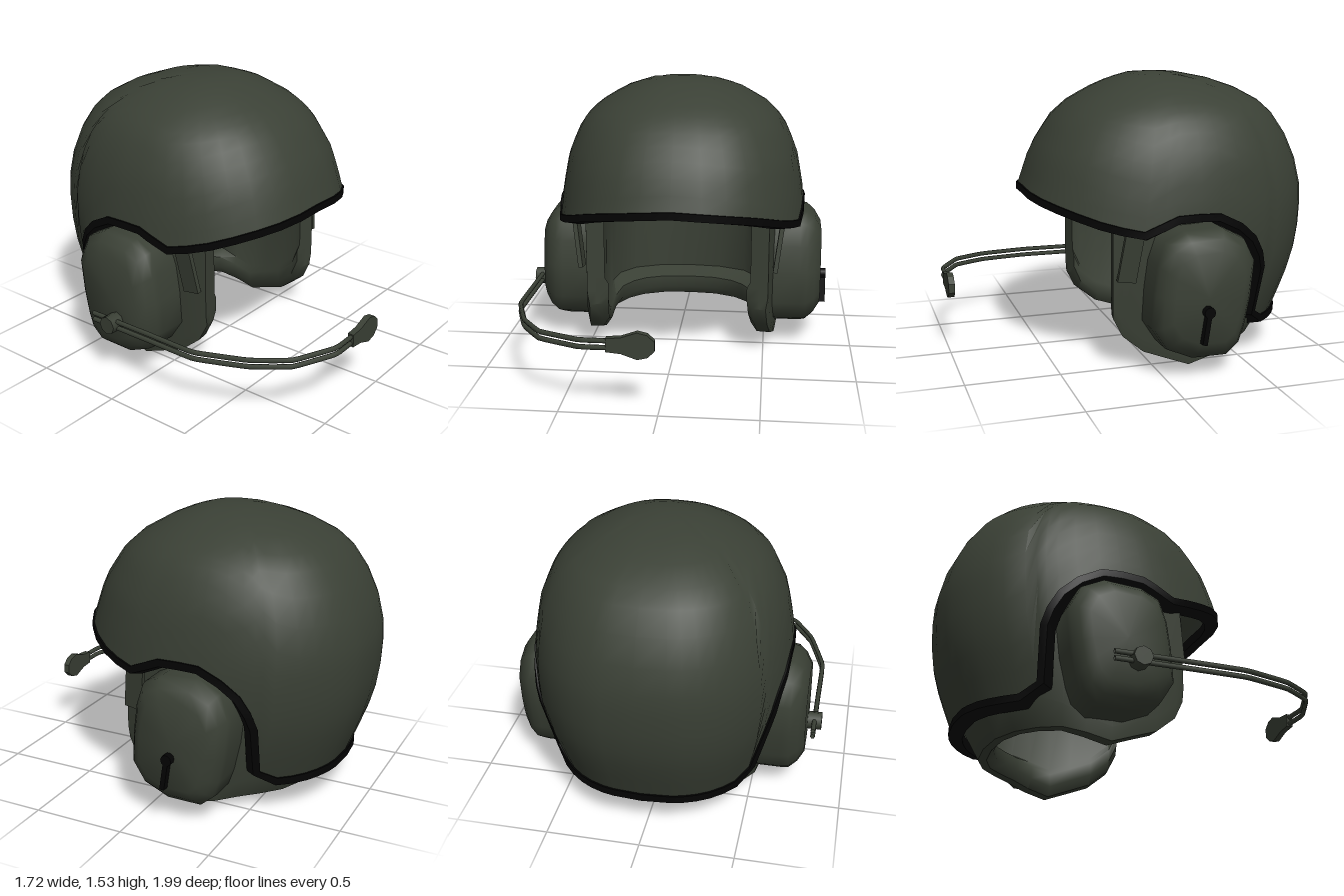
import * as THREE from 'three';
import { mergeVertices, toCreasedNormals } from 'three/addons/utils/BufferGeometryUtils.js';

const V = (x, y, z) => new THREE.Vector3(x, y, z);
const lerp = THREE.MathUtils.lerp;

// Surface through rows of points, with creases at sharp angles.
function grid(rows, crease = 0.8) {
  const n = rows[0].length, pos = [], idx = [];
  rows.forEach(r => r.forEach(p => pos.push(p.x, p.y, p.z)));
  for (let i = 0; i < rows.length - 1; i++) {
    for (let j = 0; j < n - 1; j++) {
      const a = i * n + j, b = a + n;
      idx.push(a, a + 1, b, b, a + 1, b + 1);
    }
  }
  const g = new THREE.BufferGeometry();
  g.setAttribute('position', new THREE.Float32BufferAttribute(pos, 3));
  g.setIndex(idx);
  return toCreasedNormals(mergeVertices(g), crease);
}

// Dome rings from the crown down: y, front z, back z, half width.
const RINGS = [
  [1.53, -0.15, -0.15, 0], [1.515, 0.0, -0.36, 0.18], [1.46, 0.15, -0.57, 0.34],
  [1.37, 0.31, -0.74, 0.49], [1.28, 0.41, -0.84, 0.575], [1.11, 0.52, -0.94, 0.65],
  [0.92, 0.585, -0.987, 0.685], [0.78, 0.62, -0.993, 0.7], [0.6, 0.63, -0.98, 0.695],
  [0.45, 0.63, -0.94, 0.675], [0.3, 0.62, -0.885, 0.64], [0.16, 0.61, -0.83, 0.6],
];
function ringAt(u) {
  const i = Math.min(Math.floor(u), RINGS.length - 2);
  return RINGS[i].map((v, k) => lerp(v, RINGS[i + 1][k], u - i));
}
function ringIndex(y) {
  const i = RINGS.findIndex(r => r[0] <= y);
  return i - 1 + (RINGS[i - 1][0] - y) / (RINGS[i - 1][0] - RINGS[i][0]);
}
function domePoint(phi, u, side) {
  const [y, zf, zb, w] = ringAt(u);
  const x = w * Math.pow(Math.max(0, Math.sin(phi)), 0.82);
  return V(side * x, y, (zf + zb) / 2 + Math.cos(phi) * (zf - zb) / 2);
}

// Lower edge of the shell on one side, front to back: z, y.
const RIM = [
  [0.6, 0.925], [0.575, 0.915], [0.54, 0.9], [0.48, 0.88], [0.4, 0.853], [0.3, 0.82],
  [0.2, 0.795], [0.1, 0.775], [0.0, 0.82], [-0.07, 0.85], [-0.19, 0.855], [-0.3, 0.85],
  [-0.42, 0.79], [-0.51, 0.71], [-0.56, 0.62], [-0.585, 0.53], [-0.57, 0.26], [-0.64, 0.21],
  [-0.7, 0.21], [-0.755, 0.212], [-0.795, 0.215], [-0.825, 0.217], [-0.842, 0.22], [-0.9, 0.22],
];

// Bottom edge of the padding: z, y.
const PAD_EDGE = [[0.22, 0.28], [0.17, 0.18], [0.06, 0.09], [-0.19, 0], [-0.47, 0.07], [-1, 0.07]];
function padBottom(z) {
  const i = Math.max(1, PAD_EDGE.findIndex(p => p[0] <= z));
  const [a, b] = [PAD_EDGE[i - 1], PAD_EDGE[i]];
  return lerp(a[1], b[1], (a[0] - z) / (a[0] - b[0]));
}

export function createModel() {
  const model = new THREE.Group();
  model.name = 'helmet';
  const green = new THREE.MeshStandardMaterial({ color: 0x3a4035, side: THREE.DoubleSide });
  green.name = 'olive green';
  const black = new THREE.MeshStandardMaterial({ color: 0x030303, side: THREE.DoubleSide });
  black.name = 'black';
  const add = (name, geometry, material, x = 0, y = 0, z = 0) => {
    const m = new THREE.Mesh(geometry, material);
    m.name = name;
    m.position.set(x, y, z);
    model.add(m);
    return m;
  };
  const mid = 0.018;

  // Shell: columns running from the crown to the rim
  const half = RIM.map(([z, y]) => {
    const u = ringIndex(y), [, zf, zb] = ringAt(u);
    const c = THREE.MathUtils.clamp((z - (zf + zb) / 2) / ((zf - zb) / 2), -1, 1);
    return { phi: Math.acos(c), u, side: 1 };
  });
  const loop = [...half, ...half.slice(1, -1).reverse().map(r => ({ ...r, side: -1 }))];
  loop.push(loop[0]);
  const STEPS = 14;
  add('shell', grid(loop.map(r => Array.from({ length: STEPS + 1 },
    (_, k) => domePoint(r.phi, r.u * k / STEPS, r.side))), 1.2), green, mid);

  // Rubber edge trim swept along the rim
  const rim = loop.slice(0, -1).map(r => domePoint(r.phi, r.u, r.side));
  const trim = rim.map((p, i) => {
    const t = rim[(i + 1) % rim.length].clone().sub(rim[(i + rim.length - 1) % rim.length]).normalize();
    const n = V(p.x, 0, p.z + 0.18).normalize();
    const b = t.clone().cross(n).normalize();
    return [[0.01, 0], [0.01, 0.04], [-0.065, 0.058], [-0.065, 0], [0.01, 0]]
      .map(([o, d]) => p.clone().addScaledVector(n, o).addScaledVector(b, d));
  });
  trim.push(trim[0]);
  add('edgeTrim', grid(trim, 0.7), black, mid);

  // Cheek and nape padding, a horseshoe thicker and rounder at the nape
  const side = [[0.505, 0.22], [0.515, 0.17], [0.53, 0.06], [0.545, -0.06], [0.555, -0.19],
    [0.55, -0.32], [0.53, -0.44], [0.475, -0.57], [0.37, -0.69], [0.2, -0.765]];
  const path = [...side, [0, -0.785], ...side.map(([x, z]) => [-x, z]).reverse()];
  const pad = path.map(([x, z], i) => {
    const a = path[Math.max(0, i - 1)], c = path[Math.min(path.length - 1, i + 1)];
    const t = new THREE.Vector2(c[0] - a[0], c[1] - a[1]).normalize();
    const yb = padBottom(z);
    const nape = THREE.MathUtils.smoothstep(-z, 0.25, 0.7);
    const thin = lerp(0.1, 0.04, nape), thick = lerp(0.12, 0.17, nape);
    return [[0, 0.86], [0, yb + lerp(0.07, 0.16, nape)], [lerp(0.012, 0.09, nape), yb],
      [thick - 0.035, yb], [thick, yb + 0.05], [thick, yb + 0.12], [thin, yb + 0.155], [thin, 0.86]]
      .map(([o, y]) => V(x + t.y * o, y, z - t.x * o));
  });
  const flat = row => row.map(p => {
    const c = row[0].clone().lerp(row[row.length - 1], 0.5);
    return V(c.x, p.y, c.z);
  });
  add('padding', grid([flat(pad[0]), ...pad, flat(pad[pad.length - 1])], 0.9), green, mid);

  // Ear cups and the strap plates in front of them
  const cup = [[0.06, 0.45], [0.04, 0.6], [0, 0.72], [-0.1, 0.77], [-0.3, 0.78], [-0.42, 0.72],
    [-0.48, 0.6], [-0.46, 0.4], [-0.43, 0.25], [-0.4, 0.16], [-0.33, 0.1], [-0.14, 0.1],
    [0, 0.16], [0.07, 0.27], [0.06, 0.45]];
  for (const s of [1, -1]) {
    const outline = s > 0 ? [...cup].reverse() : cup;
    const rows = [[0.5, 1], [0.68, 1], [0.72, 0.985], [0.765, 0.87], [0.8, 0.7], [0.8, 0]]
      .map(([x, k]) => outline.map(([z, y]) => V(s * x, 0.44 + (y - 0.44) * k, -0.2 + (z + 0.2) * k)));
    const label = s > 0 ? 'left' : 'right';
    add(label + 'EarCup', grid(rows, 0.95), green, mid);
    const plate = add(label + 'StrapPlate', new THREE.BoxGeometry(0.025, 0.28, 0.1), green,
      mid + s * 0.56, 0.625, 0.14);
    plate.rotation.set(-0.14, 0, -s * 0.13);
  }

  // Lever on the left ear cup
  const pivot = new THREE.CylinderGeometry(0.03, 0.03, 0.04, 10).rotateZ(Math.PI / 2);
  add('leverPivot', pivot, black, 0.835, 0.375, -0.19);
  const lever = add('lever', new THREE.BoxGeometry(0.04, 0.17, 0.026), black, 0.835, 0.292, -0.177);
  lever.rotation.x = -0.15;

  // Microphone boom: pivot, twin wires and paddle
  add('boomPivot', new THREE.CylinderGeometry(0.05, 0.05, 0.08, 8).rotateZ(Math.PI / 2), green,
    -0.82, 0.32, -0.155);
  const boom = [[-0.82, 0.32, -0.29], [-0.82, 0.325, 0.1], [-0.82, 0.327, 0.41], [-0.73, 0.342, 0.69],
    [-0.61, 0.352, 0.87], [-0.39, 0.36, 0.98], [-0.24, 0.36, 0.98]];
  for (const dy of [0.018, -0.018]) {
    const curve = new THREE.CatmullRomCurve3(boom.map(([x, y, z]) => V(x, y + dy, z)), false, 'catmullrom', 0.1);
    add('boomWire', new THREE.TubeGeometry(curve, 40, 0.013, 6), green);
  }
  const upper = [[-0.255, 0.035], [-0.18, 0.042], [-0.1, 0.07], [-0.05, 0.058], [-0.015, 0.025]];
  const paddle = new THREE.Shape([...upper, ...upper.map(([x, y]) => [x, -y]).reverse()]
    .map(([x, y]) => new THREE.Vector2(x, y)));
  add('microphone', new THREE.ExtrudeGeometry(paddle, { depth: 0.034, bevelEnabled: false }), green,
    0, 0.36, 0.963);
  return model;
}
